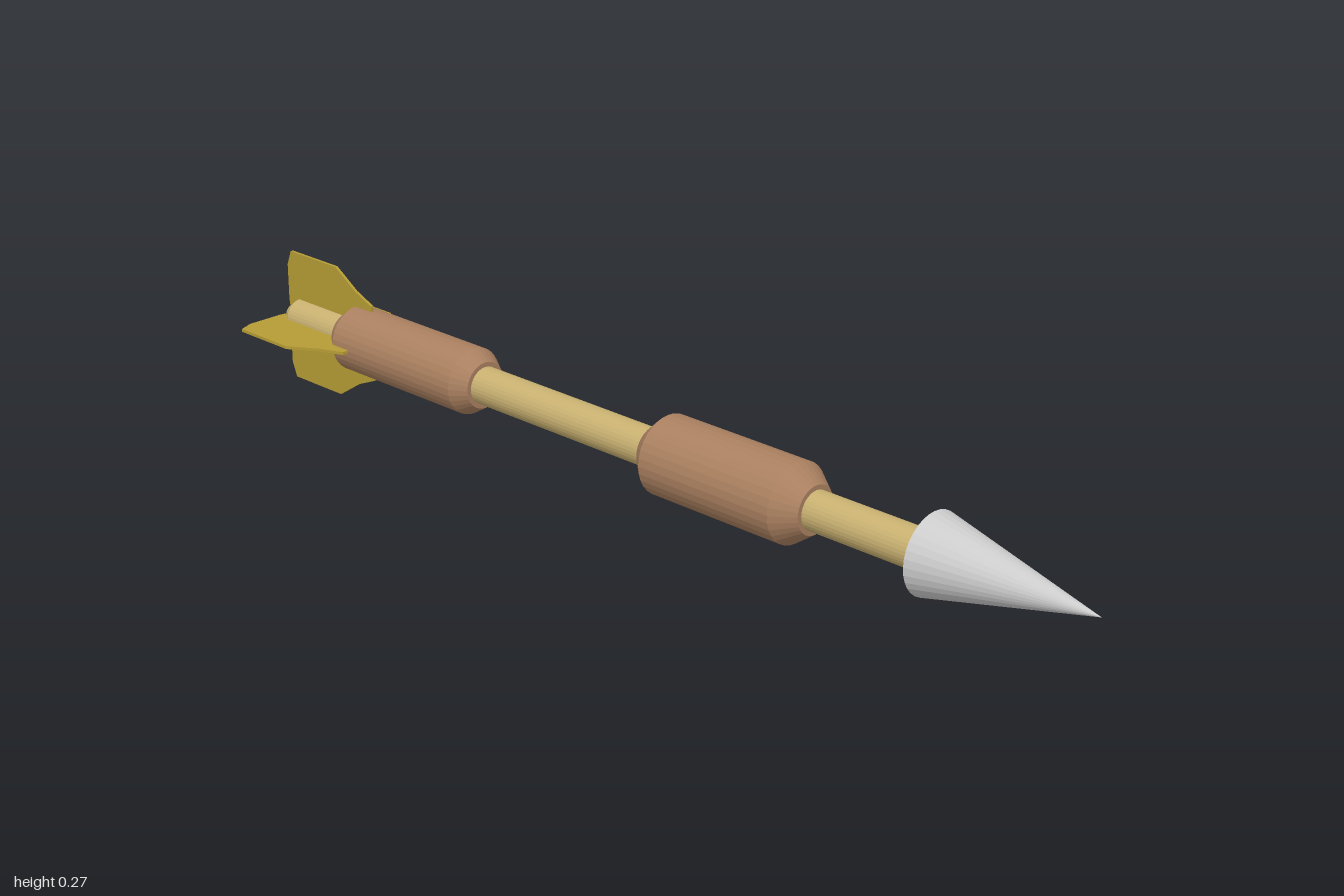
import * as THREE from 'three';

const AXIS_Y = 0.136;
const material = (color) => new THREE.MeshStandardMaterial({ color, flatShading: true });

// Solid of revolution along x; profile is a list of [x, radius] from tail to tip
function turned(name, profile, mat, z = 0) {
  const points = profile.map(([x, r]) => new THREE.Vector2(r, x));
  const mesh = new THREE.Mesh(new THREE.LatheGeometry(points, 32), mat);
  mesh.rotation.z = -Math.PI / 2;
  mesh.position.set(0, AXIS_Y, z);
  mesh.name = name;
  return mesh;
}

// Sleeve with bevelled ends
function sleeve(name, x0, x1, x2, x3, r, mat, z) {
  const end = 0.046;
  return turned(name, [[x0, 0], [x0, end], [x1, r], [x2, r], [x3, end], [x3, 0]], mat, z);
}

export function createModel() {
  const model = new THREE.Group();
  model.name = 'dart';
  const wood = material(0xc8b070);
  const leather = material(0xaa8060);
  const feather = material(0xb59b35);
  const metal = material(0xcccccc);

  // Shaft with a tapered tail
  model.add(turned('shaft',
    [[-0.995, 0], [-0.995, 0.018], [-0.968, 0.037], [0.67, 0.037], [0.67, 0]], wood, -0.001));

  // Two thick sleeves
  model.add(sleeve('rearSleeve', -0.818, -0.79, -0.45, -0.417, 0.066, leather, -0.001));
  model.add(sleeve('frontSleeve', 0.03, 0.064, 0.369, 0.412, 0.076, leather, -0.001));

  // Pointed head
  model.add(turned('head', [[0.663, 0], [0.663, 0.076], [1, 0]], metal, -0.004));

  // Four tail fins around the shaft
  const outline = [[-0.995, 0], [-1, 0.03], [-1, 0.105], [-0.988, 0.135], [-0.848, 0.135],
    [-0.79, 0.098], [-0.742, 0.078], [-0.742, 0.066], [-0.8, 0.04], [-0.8, 0]];
  const thickness = 0.006;
  const finGeometry = new THREE.ExtrudeGeometry(
    new THREE.Shape(outline.map(([x, y]) => new THREE.Vector2(x, y))),
    { depth: thickness, bevelEnabled: false }).translate(0, 0, -thickness / 2);
  const fins = new THREE.Group();
  fins.name = 'tailFins';
  fins.position.y = 0.135;
  for (let i = 0; i < 4; i++) {
    const fin = new THREE.Mesh(finGeometry, feather);
    fin.name = 'fin' + (i + 1);
    fin.rotation.x = i * Math.PI / 2;
    fins.add(fin);
  }
  model.add(fins);

  return model;
}
